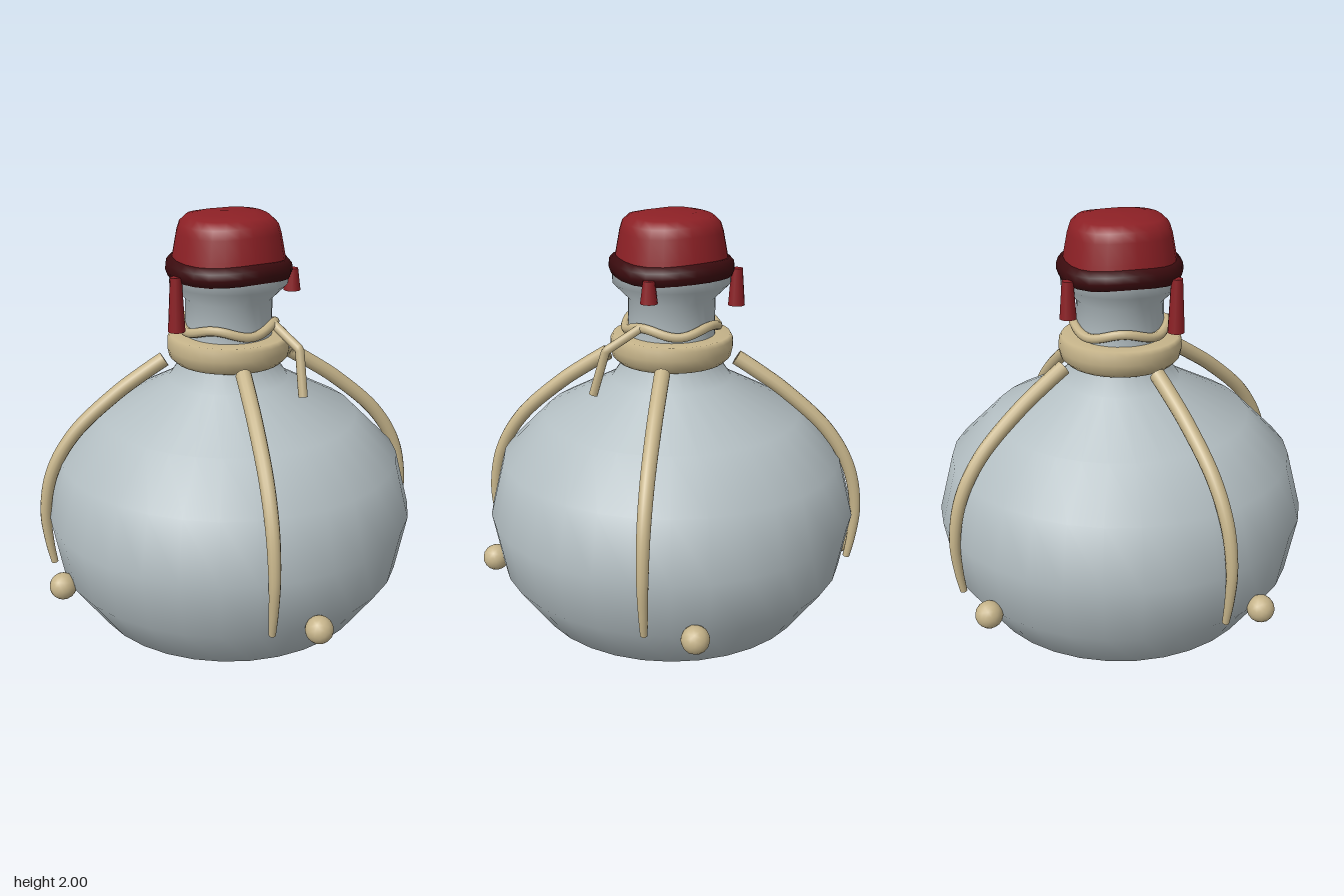
import * as THREE from 'three';

const makeMat = (name, color) => {
  const m = new THREE.MeshStandardMaterial({ color });
  m.name = name;
  return m;
};

// Surface of revolution from [radius, height] pairs, listed bottom to top
const lathe = (pairs, segments) =>
  new THREE.LatheGeometry(pairs.map(([r, y]) => new THREE.Vector2(r, y)), segments);

// Tube whose radius follows radiusAt(t), with flat closed ends
function taperedTube(curve, rings, sides, radiusAt) {
  const g = new THREE.TubeGeometry(curve, rings, 1, sides, false);
  const pos = g.attributes.position;
  const v = new THREE.Vector3();
  for (let i = 0; i <= rings; i++) {
    const centre = curve.getPointAt(i / rings);
    const end = i === 0 || i === rings;
    const inner = Math.min(Math.max(i, 1), rings - 1);
    for (let j = 0; j <= sides; j++) {
      const k = i * (sides + 1) + j;
      if (end) v.copy(curve.getPointAt(inner / rings));
      else v.fromBufferAttribute(pos, k).sub(centre).multiplyScalar(radiusAt(i / rings)).add(centre);
      pos.setXYZ(k, v.x, v.y, v.z);
    }
  }
  return g;
}

export function createModel() {
  const model = new THREE.Group();
  model.name = 'bottle';
  const glass = makeMat('pale grey glass', 0xb3bec2);
  const rope = makeMat('tan rope', 0xc6b48a);
  const red = makeMat('red wax', 0x8c2025);
  const darkRed = makeMat('dark red wax', 0x3a0b0e);

  const add = (name, geometry, material, parent = model) => {
    const mesh = new THREE.Mesh(geometry, material);
    mesh.name = name;
    parent.add(mesh);
    return mesh;
  };

  // Round body, neck and flared lip
  add('bottleBody', lathe([
    [0, 0], [0.4, 0], [0.66, 0.095], [0.82, 0.32], [0.87, 0.59], [0.8, 0.86], [0.6, 1.06],
    [0.28, 1.23], [0.205, 1.34], [0.2, 1.46], [0.2, 1.61], [0.27, 1.68], [0.27, 1.75],
  ], 32), glass);

  // Thick collar at the base of the neck
  add('collar', lathe([
    [0.19, 1.31], [0.25, 1.315], [0.276, 1.34], [0.285, 1.38], [0.283, 1.42], [0.272, 1.44], [0.19, 1.44],
  ], 32), rope);

  // Four straps and four beads, a quarter turn apart
  const strapSide = [
    [0.28, 1.345], [0.4, 1.27], [0.53, 1.18], [0.73, 1.0], [0.84, 0.82], [0.883, 0.62], [0.875, 0.46], [0.852, 0.32],
  ];
  const lean = Math.PI / 12;
  const strapCurve = new THREE.CatmullRomCurve3(strapSide.map(([r, y]) =>
    new THREE.Vector3(r * Math.sin(lean), y, r * Math.cos(lean))));
  const strapGeo = taperedTube(strapCurve, 48, 12, (t) => 0.036 - 0.006 * t - 0.015 * t ** 4);
  const beadGeo = new THREE.IcosahedronGeometry(0.063, 2);
  for (let i = 0; i < 4; i++) {
    const quarter = new THREE.Group();
    quarter.name = 'strapAndBead';
    quarter.rotation.y = i * Math.PI / 2;
    add('strap', strapGeo, rope, quarter);
    add('bead', beadGeo, rope, quarter).position.set(0.425, 0.33, 0.75);
    model.add(quarter);
  }

  // Wavy cord around the neck
  const loop = [];
  for (let i = 0; i < 32; i++) {
    const a = i / 32 * Math.PI * 2;
    loop.push(new THREE.Vector3(0.213 * Math.sin(a), 1.485 + 0.016 * Math.cos(4 * (a + 0.24)), 0.213 * Math.cos(a)));
  }
  add('neckCord', new THREE.TubeGeometry(new THREE.CatmullRomCurve3(loop, true), 64, 0.022, 8, true), rope);

  // Loose end of the cord, bent once
  const tail = new THREE.CurvePath();
  const [p, q, r] = [[0.2, 1.505, 0.06], [0.325, 1.415, 0.18], [0.345, 1.2, 0.24]].map((c) => new THREE.Vector3(...c));
  tail.add(new THREE.LineCurve3(p, q));
  tail.add(new THREE.LineCurve3(q, r));
  add('cordTail', taperedTube(tail, 40, 8, () => 0.021), rope);

  // Wax cap with a slightly uneven dark rim
  const uneven = (g, amount) => {
    const pos = g.attributes.position;
    for (let i = 0; i < pos.count; i++) {
      const x = pos.getX(i), z = pos.getZ(i), a = Math.atan2(x, z);
      const s = 1 + amount * Math.sin(5 * a + 1);
      pos.setXYZ(i, x * s, pos.getY(i) + 0.5 * amount * Math.sin(3 * a) * Math.min(1, Math.hypot(x, z) * 4), z * s);
    }
    g.computeBoundingSphere();
    return g;
  };
  add('capTop', uneven(lathe([
    [0.262, 1.76], [0.252, 1.82], [0.235, 1.91], [0.222, 1.95], [0.19, 1.98], [0.12, 1.995], [0, 2.0],
  ], 24), 0.012), red);
  add('capRim', uneven(lathe([
    [0.2, 1.715], [0.25, 1.705], [0.276, 1.715], [0.287, 1.745], [0.284, 1.775], [0.265, 1.797], [0.235, 1.8],
  ], 24), 0.015), darkRed);

  // Wax drips: x, z, lower end
  for (const [x, z, low] of [[-0.222, 0.19, 1.495], [0.288, -0.015, 1.64], [-0.11, -0.275, 1.57]]) {
    const height = 1.74 - low;
    add('waxDrip', new THREE.CylinderGeometry(0.026, 0.039, height, 12), red).position.set(x, low + height / 2, z);
  }
  return model;
}
